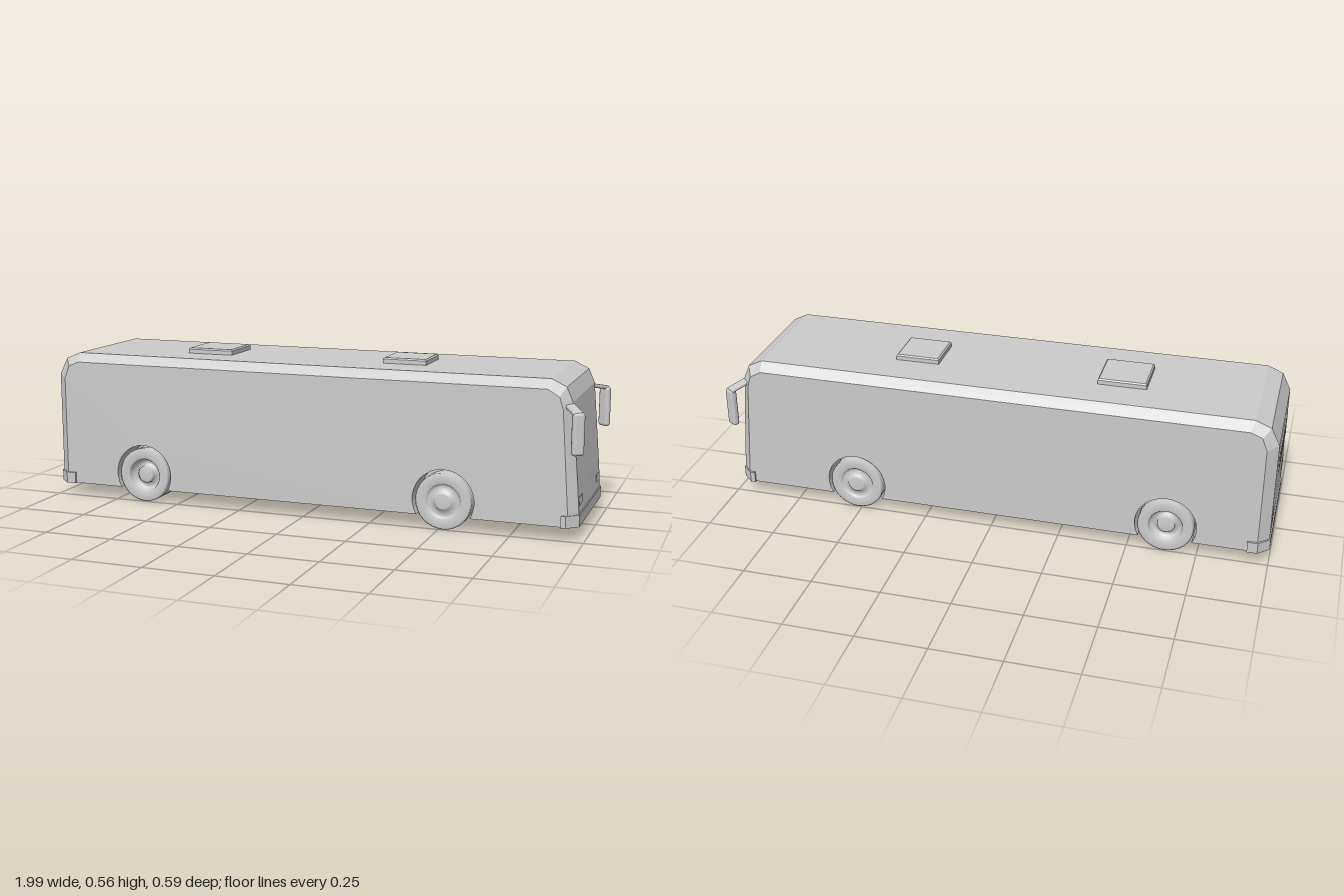
import * as THREE from 'three';
import { RoundedBoxGeometry } from 'three/addons/geometries/RoundedBoxGeometry.js';

const AXLES = [-0.635, 0.515];
const FLOOR = 0.05;
const mat = new THREE.MeshStandardMaterial({ color: 0xcccccc });
const flat = new THREE.MeshStandardMaterial({ color: 0xcccccc, flatShading: true });

function add(parent, name, geometry, x = 0, y = 0, z = 0, material = flat) {
  const mesh = new THREE.Mesh(geometry, material);
  mesh.name = name;
  mesh.position.set(x, y, z);
  parent.add(mesh);
  return mesh;
}

// Side outlines, counter-clockwise from the front sill to the rear sill
const OUTER = [[0.977, 0.05], [0.976, 0.1], [0.97, 0.18], [0.944, 0.47], [0.922, 0.52], [0.87, 0.545],
  [-0.91, 0.545], [-0.965, 0.522], [-0.996, 0.46], [-0.996, 0.05]];
const INNER = [[0.945, 0.05], [0.944, 0.1], [0.938, 0.18], [0.918, 0.45], [0.905, 0.49], [0.865, 0.514],
  [-0.9, 0.514], [-0.94, 0.497], [-0.958, 0.45], [-0.958, 0.05]];

// Cross-section of the body, with or without the wheel arches
function ring(outline, z, arched) {
  const pts = [];
  const r = 0.11, cy = 0.105, dip = Math.asin((cy - FLOOR) / r), steps = 20;
  for (const cx of AXLES) {
    for (let i = 0; i <= steps; i++) {
      const a = Math.PI + dip - (i / steps) * (Math.PI + 2 * dip);
      // arch is vertical below its widest point
      const x = cx + r * Math.cos(a), y = cy + r * Math.sin(a);
      pts.push(new THREE.Vector3(x, arched ? Math.max(y, FLOOR) : FLOOR, z));
    }
  }
  for (const [x, y] of outline) pts.push(new THREE.Vector3(x, y, z));
  return pts;
}

// Body lofted across its width, so the arches become closed wheel wells
function bodyGeometry() {
  const rings = [
    ring(INNER, -0.25, true), ring(OUTER, -0.217, true), ring(OUTER, -0.135, true), ring(OUTER, -0.135, false),
    ring(OUTER, 0.135, false), ring(OUTER, 0.135, true), ring(OUTER, 0.217, true), ring(INNER, 0.25, true),
  ];
  const pos = [];
  const tri = (...p) => p.forEach((v) => pos.push(v.x, v.y, v.z));
  for (let k = 0; k < rings.length - 1; k++) {
    const lo = rings[k], hi = rings[k + 1], n = lo.length;
    for (let i = 0; i < n; i++) {
      const j = (i + 1) % n;
      tri(lo[i], lo[j], hi[j]);
      tri(lo[i], hi[j], hi[i]);
    }
  }
  const right = rings[0], left = rings[rings.length - 1];
  const faces = THREE.ShapeUtils.triangulateShape(left.map((p) => new THREE.Vector2(p.x, p.y)), []);
  for (const [a, b, c] of faces) {
    tri(left[a], left[b], left[c]);
    tri(right[a], right[c], right[b]);
  }
  const g = new THREE.BufferGeometry();
  g.setAttribute('position', new THREE.Float32BufferAttribute(pos, 3));
  g.computeVertexNormals();
  return g;
}

// Chamfered bumper slab; dir is +1 at the front and -1 at the rear
function bumperGeometry(tip, back, dir) {
  const c = tip - dir * 0.04;
  const plan = [[back, -0.258], [c, -0.258], [tip, -0.22], [tip, 0.22], [c, 0.258], [back, 0.258]];
  const shape = new THREE.Shape(plan.map(([x, z]) => new THREE.Vector2(x, -z)));
  const g = new THREE.ExtrudeGeometry(shape, { depth: 0.041, bevelEnabled: false });
  g.rotateX(-Math.PI / 2);
  return g;
}

// Roof hatch with a chamfered lid
function hatchGeometry(w, d) {
  const b = 0.005;
  const s = new THREE.Shape();
  const x = w / 2 - b, y = d / 2 - b;
  s.moveTo(-x, -y).lineTo(x, -y).lineTo(x, y).lineTo(-x, y).closePath();
  const g = new THREE.ExtrudeGeometry(s, { depth: 0.017, bevelSize: b, bevelThickness: b, bevelSegments: 1 });
  g.rotateX(-Math.PI / 2);
  return g;
}

// Lathe profiles: [radius, distance outwards from the wheel's inner face]
const tyre = (a, b) => [[0.055, a], [0.093, a], [0.1, a + 0.006], [0.1, b - 0.006], [0.094, b], [0.064, b]];
const FRONT_WHEEL = [[0, 0.047], ...tyre(0.047, 0.107),
  [0.06, 0.1], [0.052, 0.095], [0.036, 0.099], [0.032, 0.106], [0.024, 0.108], [0, 0.108]];
const REAR_WHEEL = [[0, 0], ...tyre(0, 0.048).slice(0, 5), [0.07, 0.048], [0.07, 0.062], ...tyre(0.062, 0.107).slice(1),
  [0.06, 0.1], [0.054, 0.075], [0.034, 0.07], [0.032, 0.09], [0.026, 0.094], [0, 0.094]];

function wheelGeometry(profile) {
  const g = new THREE.LatheGeometry(profile.map(([r, d]) => new THREE.Vector2(r, d)), 32);
  g.rotateX(Math.PI / 2);
  return g;
}

function createMirror(side) {
  const mirror = new THREE.Group();
  mirror.name = side > 0 ? 'leftMirror' : 'rightMirror';
  // arm from the windscreen pillar, outwards and forwards
  const from = new THREE.Vector3(0.925, 0.462, 0.205), to = new THREE.Vector3(0.974, 0.444, 0.285);
  const arm = add(mirror, 'mirrorArm', new RoundedBoxGeometry(0.036, 0.014, from.distanceTo(to), 2, 0.006), 0, 0, 0, mat);
  arm.position.copy(from).add(to).multiplyScalar(0.5);
  arm.lookAt(to);
  // hanging mirror housing
  const head = add(mirror, 'mirrorHousing', new RoundedBoxGeometry(0.042, 0.145, 0.026, 3, 0.011), 0.974, 0.376, 0.277, mat);
  head.rotation.y = 0.5;
  if (side < 0) {
    for (const m of [arm, head]) {
      m.position.z *= -1;
      m.rotation.x *= -1;
      m.rotation.y = m === arm ? Math.PI - m.rotation.y : -m.rotation.y;
      if (m === arm) {
        m.position.set((from.x + to.x) / 2, (from.y + to.y) / 2, -(from.z + to.z) / 2);
        m.rotation.set(0, 0, 0);
        m.lookAt(to.x, to.y, -to.z);
      }
    }
  }
  return mirror;
}

export function createModel() {
  const bus = new THREE.Group();
  bus.name = 'bus';

  add(bus, 'body', bodyGeometry());
  add(bus, 'frontBumper', bumperGeometry(0.98, 0.923, 1), 0, FLOOR - 0.001, 0);
  const rear = bumperGeometry(1, 0.924, 1);
  rear.rotateY(Math.PI);
  add(bus, 'rearBumper', rear, 0, FLOOR - 0.001, 0);

  // Roof hatches
  add(bus, 'rearRoofHatch', hatchGeometry(0.175, 0.174), -0.432, 0.543, 0);
  add(bus, 'frontRoofHatch', hatchGeometry(0.16, 0.16), 0.32, 0.543, 0);

  // Wheels: single at the front, twin at the rear
  const rearWheel = wheelGeometry(REAR_WHEEL), frontWheel = wheelGeometry(FRONT_WHEEL);
  for (const side of [1, -1]) {
    const label = side > 0 ? 'Left' : 'Right';
    const z = side > 0 ? 0.143 : -0.146;
    const r = add(bus, `rear${label}Wheel`, rearWheel, AXLES[0], 0.102, z, mat);
    const f = add(bus, `front${label}Wheel`, frontWheel, AXLES[1], 0.102, z, mat);
    for (const w of [r, f]) {
      w.material = new THREE.MeshStandardMaterial({ color: 0xcccccc, side: THREE.DoubleSide });
      if (side < 0) w.rotation.y = Math.PI;
    }
    bus.add(createMirror(side));

    // Lights
    const head = add(bus, `headlight${label}`, new THREE.BoxGeometry(0.01, 0.027, 0.066), 0.97, 0.132, side * 0.177);
    head.rotation.z = 0.08;
    add(bus, `tailLight${label}`, new THREE.BoxGeometry(0.01, 0.08, 0.035), -0.993, 0.16, side * 0.19);
  }

  // Engine louvres on the rear face
  for (let i = 0; i < 4; i++) {
    const slat = add(bus, 'engineLouvre', new THREE.BoxGeometry(0.008, 0.014, 0.31), -0.994, 0.327 + i * 0.024, 0);
    slat.rotation.z = -0.25;
  }
  return bus;
}
